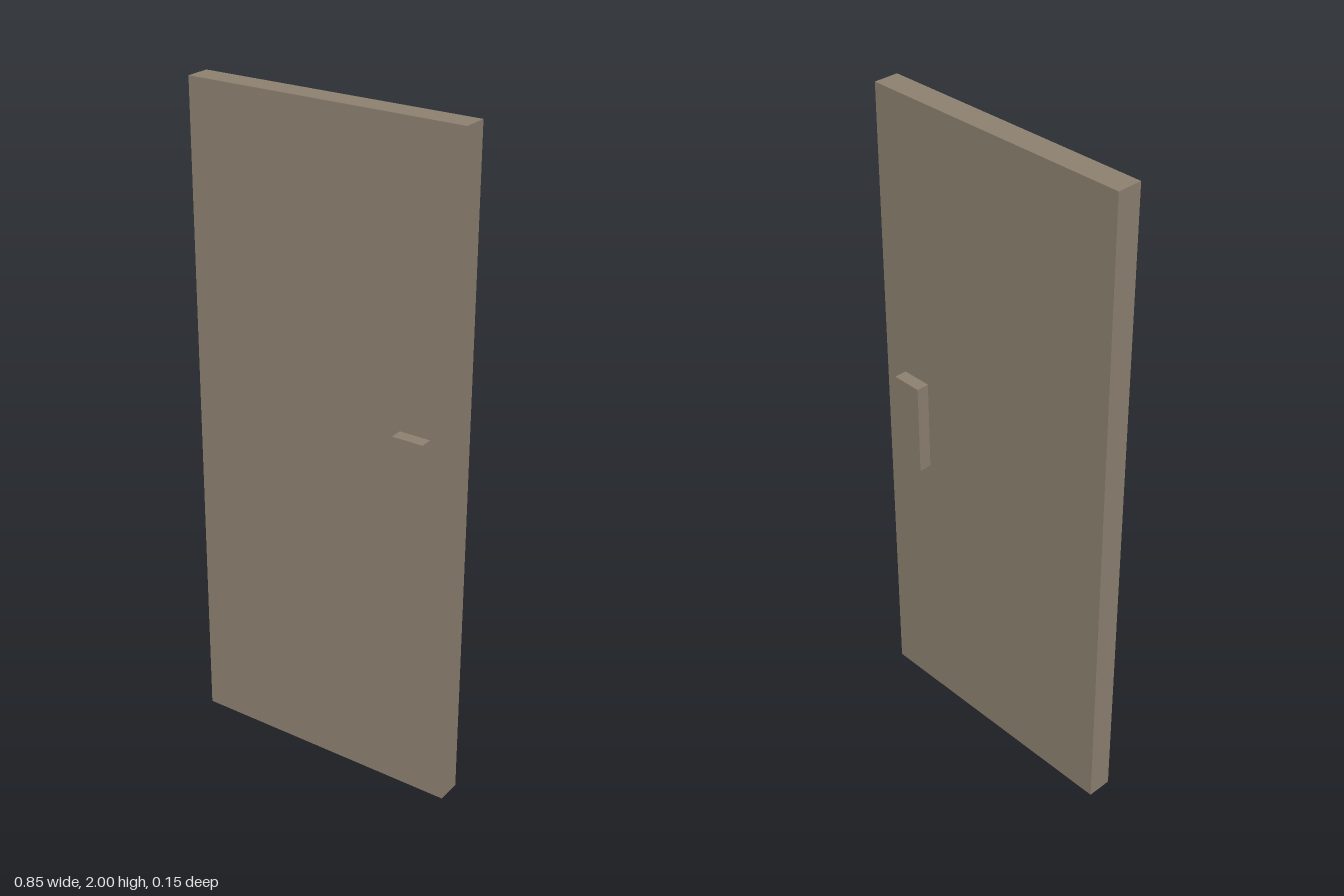
import * as THREE from 'three';

const WIDTH = 0.854, HEIGHT = 2, THICKNESS = 0.076;
const HANDLE = { width: 0.095, height: 0.283, depth: 0.039, x: 0.303, y: 1.003 };

export function createModel() {
  const group = new THREE.Group();
  group.name = 'door';
  const material = new THREE.MeshStandardMaterial({ color: 0x8f8272 });

  function addBox(name, w, h, d, x, y, z) {
    const mesh = new THREE.Mesh(new THREE.BoxGeometry(w, h, d), material);
    mesh.name = name;
    mesh.position.set(x, y, z);
    group.add(mesh);
  }

  // Plain door leaf
  addBox('doorPanel', WIDTH, HEIGHT, THICKNESS, 0, HEIGHT / 2, 0);

  // One block handle on each face
  for (const [name, side] of [['frontHandle', 1], ['backHandle', -1]]) {
    addBox(name, HANDLE.width, HANDLE.height, HANDLE.depth,
      HANDLE.x, HANDLE.y, side * (THICKNESS + HANDLE.depth) / 2);
  }

  return group;
}
